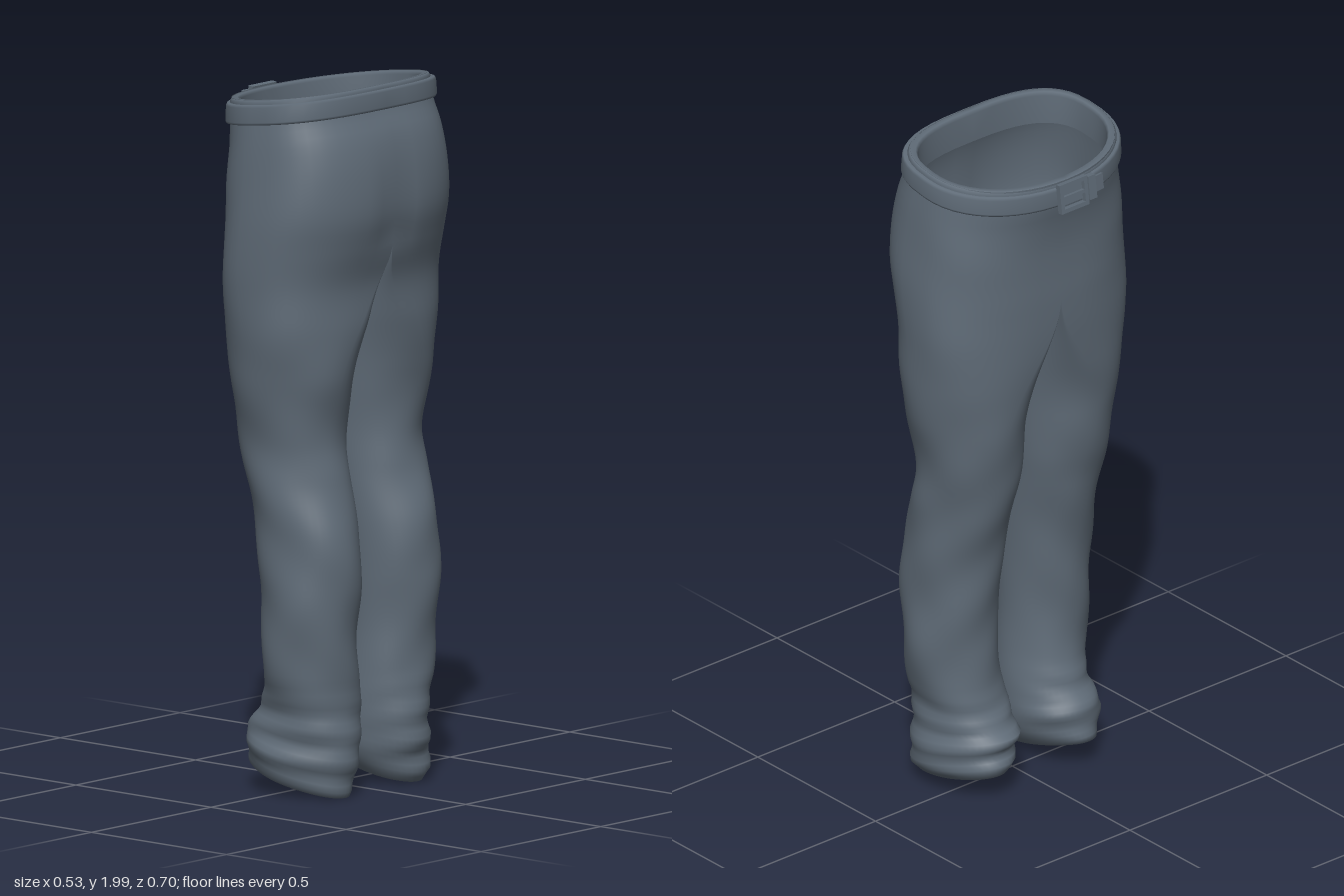
import * as THREE from 'three';
import { mergeVertices } from 'three/addons/utils/BufferGeometryUtils.js';

const CROTCH = 1.56, TOP = 1.975, HEM = 0.055, N = 24;
const { lerp, smoothstep } = THREE.MathUtils;

// Outline by height: y, front x, back x, outer z, inner z of one leg
const ROWS = [
  [0.055, -0.14, 0.185, 0.25, 0.065], [0.09, -0.147, 0.195, 0.272, 0.04],
  [0.13, -0.135, 0.2, 0.28, 0.025], [0.17, -0.148, 0.208, 0.272, 0.02],
  [0.2, -0.118, 0.207, 0.268, 0.02], [0.26, -0.092, 0.204, 0.265, 0.022],
  [0.34, -0.07, 0.204, 0.283, 0.03], [0.45, -0.066, 0.205, 0.295, 0.038],
  [0.6, -0.075, 0.22, 0.295, 0.036], [0.75, -0.093, 0.21, 0.295, 0.03],
  [0.9, -0.128, 0.172, 0.297, 0.024], [1.0, -0.152, 0.156, 0.299, 0.018],
  [1.2, -0.18, 0.187, 0.33, 0.008], [1.32, -0.195, 0.201, 0.346, 0.003],
  [1.45, -0.206, 0.206, 0.351, 0.003], [1.56, -0.208, 0.238, 0.349, 0],
  [1.65, -0.206, 0.26, 0.346, 0], [1.75, -0.208, 0.256, 0.338, 0],
  [1.84, -0.218, 0.232, 0.327, 0], [1.9, -0.23, 0.203, 0.318, 0], [1.975, -0.235, 0.184, 0.306, 0],
];
const curve = new THREE.CubicInterpolant(ROWS.map(r => r[0]), ROWS.flatMap(r => r.slice(1)), 4);

// Half ring (or whole leg ring) at height y; side is +1 or -1, off grows the outline
function ring(y, side, whole, off = 0, folds = true) {
  const [xf, xb, zo, zi] = curve.evaluate(y);
  const w = smoothstep(CROTCH - y, 0, 0.42);
  const high = smoothstep(y, 1.7, 1.95);
  const mid = lerp(0.01, (xf + xb) / 2, Math.max(w, 0.5));
  const seam = lerp(0, (zo + zi) / 2, w);
  const tilt = 0.13 * smoothstep(y, 1.6, 1.9) - 0.25 * (1 - smoothstep(y, 0.05, 0.36));
  const cleft = 0.016 * smoothstep(y, 1.5, 1.62) * (1 - smoothstep(y, 1.66, 1.88));
  const pts = [];
  for (let j = 0; j <= (whole ? 2 * N : N); j++) {
    const a = Math.PI * j / N, c = Math.cos(a), s = Math.abs(Math.sin(a));
    const e = c > 0 ? lerp(lerp(0.78, 1, w), 0.95, high) : lerp(lerp(0.78, 1, w), 0.7, high);
    const u = Math.pow(Math.abs(c), e), v = s < 1e-6 ? 0 : Math.pow(s, e);
    const outer = j <= N;
    let grow = off;
    if (folds) {
      const low = 1 - smoothstep(y, 0.16, 0.36);
      const shin = 1 - smoothstep(y, 0.9, 1.5);
      grow += 0.006 * low * Math.sin(y * 85 + 2 * c + side + a)
        + 0.003 * shin * Math.sin(y * 24 + 3 * a + side * 1.3)
        + 0.002 * (1 - high) * Math.sin(y * 17 - 4 * a) * s;
    }
    let x = c > 0 ? mid - (mid - xf + grow) * u : mid + (xb - mid + grow) * u;
    let z = outer ? seam + (zo - seam + grow) * v : seam + (zi - seam) * v;
    if (c < 0) x -= cleft * Math.exp(-((z / 0.05) ** 2));
    pts.push([x, y + tilt * x, z * side]);
  }
  return pts;
}

// Skin between successive rings of equal length
function loft(rings, flip, pos, idx) {
  const base = pos.length / 3, n = rings[0].length;
  rings.forEach(r => r.forEach(p => pos.push(...p)));
  for (let i = 0; i < rings.length - 1; i++) for (let j = 0; j < n - 1; j++) {
    const a = base + i * n + j, b = a + 1, c = a + n, d = c + 1;
    if (flip) idx.push(a, b, c, b, d, c);
    else idx.push(a, c, b, b, c, d);
  }
}

function finish(pos, idx) {
  let g = new THREE.BufferGeometry();
  g.setAttribute('position', new THREE.Float32BufferAttribute(pos, 3));
  g.setIndex(idx);
  g = mergeVertices(g, 1e-5);
  g.computeVertexNormals();
  return g;
}

// Trousers: two pelvis halves sharing a centre seam, each running into a leg
function trousersGeometry() {
  const pos = [], idx = [];
  for (const side of [1, -1]) {
    const pelvis = [], leg = [];
    for (let i = 0; i <= 18; i++) pelvis.push(ring(lerp(TOP, CROTCH, i / 18), side, false));
    for (let i = 0; i <= 90; i++) leg.push(ring(lerp(CROTCH, HEM, i / 90), side, true));
    // hem turned inwards
    const hem = leg[leg.length - 1];
    for (const [k, up] of [[0.94, 0.002], [0.9, 0.03]])
      leg.push(hem.map(([x, y, z]) => [0.02 + (x - 0.02) * k, y + up, side * 0.158 + (z - side * 0.158) * k]));
    loft(pelvis, side < 0, pos, idx);
    loft(leg, side < 0, pos, idx);
  }
  return finish(pos, idx);
}

// Band around the waist; profile points are [offset, height]
function bandGeometry(profile) {
  const pos = [], idx = [];
  for (const side of [1, -1])
    loft(profile.map(([off, y, at = y]) => ring(at, side, false, off, false)
      .map(([x, , z]) => [x, y + 0.13 * x, z])), side < 0, pos, idx);
  return finish(pos, idx);
}

export function createModel() {
  const model = new THREE.Group();
  const cloth = new THREE.MeshStandardMaterial({ color: 0x5f6b77, side: THREE.DoubleSide });
  cloth.name = 'slate cloth';
  const add = (name, geometry, parent = model) => {
    const mesh = new THREE.Mesh(geometry, cloth);
    mesh.name = name;
    parent.add(mesh);
    return mesh;
  };

  add('trousers', trousersGeometry());

  // Rolled waistband edge and belt
  add('waistband', bandGeometry([[-0.024, 1.88, 1.95], [-0.024, 1.965, 1.95], [-0.018, 1.974, 1.95],
    [-0.002, 1.974, 1.95], [0.003, 1.965, 1.95], [0.003, 1.94, 1.95]]));
  add('belt', bandGeometry([[-0.01, 1.962, 1.93], [0.009, 1.962, 1.93], [0.013, 1.955, 1.93],
    [0.014, 1.913, 1.92], [0.011, 1.906, 1.92], [-0.012, 1.906, 1.92]]));

  // Buckle on the front, with prong, keeper loop and loose strap end
  const buckle = new THREE.Group();
  buckle.name = 'buckle';
  buckle.position.set(-0.253, 1.904, 0);
  buckle.rotation.z = -0.13;
  model.add(buckle);
  const box = (name, w, h, d, x, y, z) => {
    const m = add(name, new THREE.BoxGeometry(w, h, d), buckle);
    m.position.set(x, y, z);
    return m;
  };
  for (const s of [1, -1]) {
    box('buckleRail', 0.016, 0.012, 0.1, -0.004, s * 0.037, 0);
    box('buckleSide', 0.016, 0.086, 0.012, -0.004, 0, s * 0.044);
  }
  box('bucklePlate', 0.008, 0.05, 0.09, 0.004, 0, 0);
  box('buckleProng', 0.01, 0.01, 0.09, -0.006, 0, 0.004);
  box('keeperLoop', 0.02, 0.07, 0.026, 0.002, 0, 0.07);
  const strap = box('strapEnd', 0.007, 0.046, 0.07, 0.009, -0.002, 0.088);
  strap.rotation.y = 0.12;

  return model;
}
